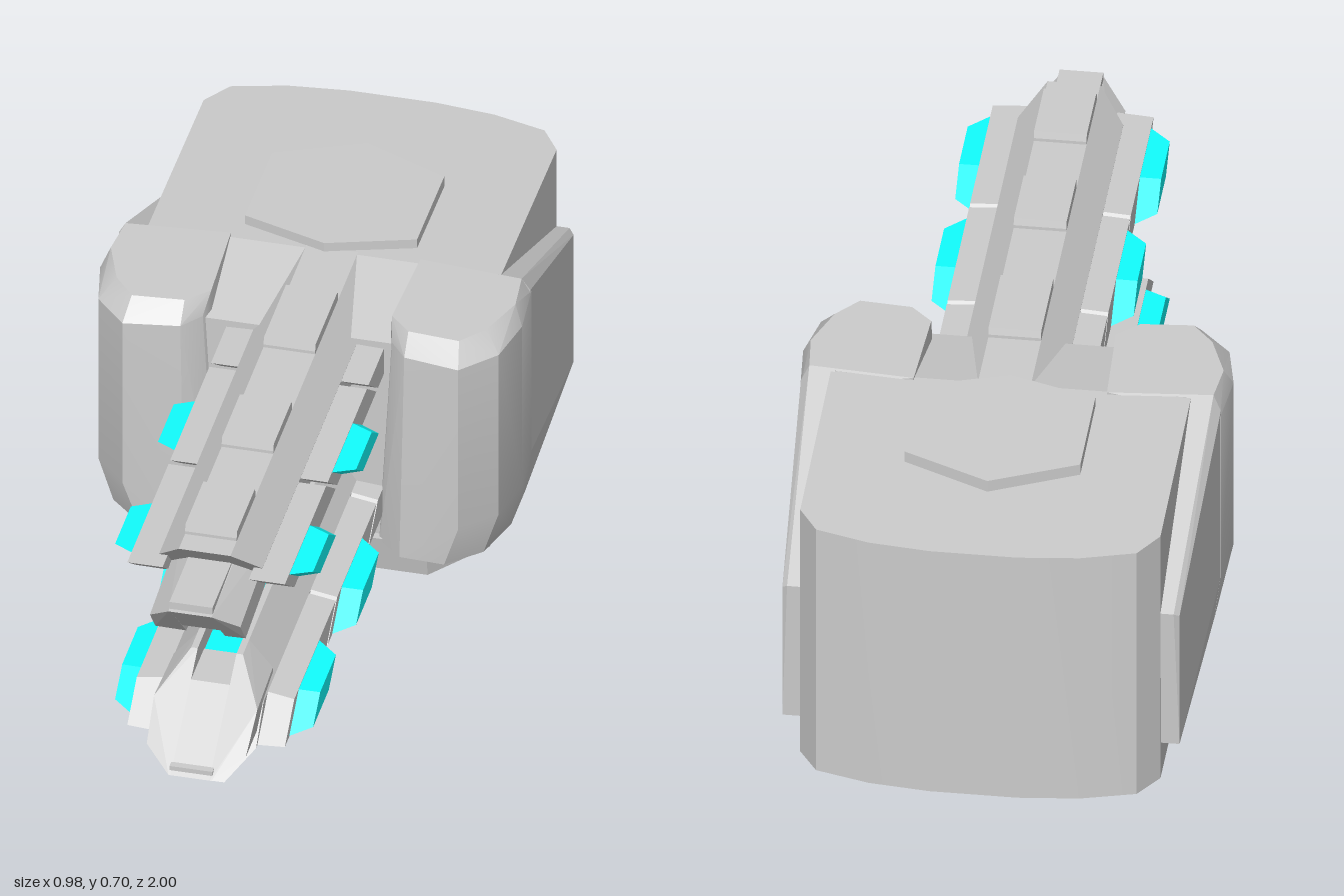
import * as THREE from 'three';
import { ConvexGeometry } from 'three/addons/geometries/ConvexGeometry.js';
import { toCreasedNormals } from 'three/addons/utils/BufferGeometryUtils.js';

const grey = new THREE.MeshStandardMaterial({ color: 0xcccccc });
const cyan = new THREE.MeshStandardMaterial({ color: 0x11ffff });
const MID = 0.3875; // height halfway between the two barrels
const CX = 0.015; // barrel centre line

function add(parent, name, geometry, material = grey) {
  const mesh = new THREE.Mesh(geometry, material);
  mesh.name = name;
  parent.add(mesh);
  return mesh;
}

const hull = (pts) => new ConvexGeometry(pts.map((p) => new THREE.Vector3(...p)));

// Half outline (x >= 0) closed by its mirror image
const mirrored = (half) => [...half, ...half.slice().reverse().map(([x, y]) => [-x, y])];

function extrude(pts, depth) {
  const shape = new THREE.Shape(pts.map((p) => new THREE.Vector2(...p)));
  return new THREE.ExtrudeGeometry(shape, { depth, bevelEnabled: false });
}

// Plan outline in (x, z) raised from y0 to y1
function raise(pts, y0, y1) {
  const g = extrude(pts.map(([x, z]) => [x, -z]), y1 - y0);
  return g.rotateX(-Math.PI / 2).translate(0, y0, 0);
}

// Moves the upper vertices of a raised outline to a sloping roof
function slopeRoof(g, rule) {
  const p = g.attributes.position;
  for (let i = 0; i < p.count; i++) if (p.getY(i) > 0.5) p.setY(i, rule(p.getZ(i)));
  g.computeVertexNormals();
  return toCreasedNormals(g, 0.5);
}

function createBody() {
  const body = new THREE.Group();
  body.name = 'turretBody';
  // Main shell with curved back
  const rear = mirrored([[0.1, -1], [0.24, -0.985], [0.365, -0.95], [0.41, -0.88], [0.41, -0.35]]);
  add(body, 'rearShell', slopeRoof(raise(rear, 0, 0.68), (z) => 0.68 + (z + 0.35) * 0.035));
  const front = mirrored([[0.41, -0.35], [0.41, -0.15], [0.36, -0.1]]);
  add(body, 'frontShell', slopeRoof(raise(front, 0.09, 0.68), (z) => 0.68 - (z + 0.35) * 0.2));
  // Chamfered plinth under the cheeks
  const ring = (y, z) => [[0.41, y, -0.36], [0.41, y, z - 0.14], [0.3, y, z]];
  const plinth = [...ring(0.004, -0.1), ...ring(0.1, -0.08)];
  add(body, 'plinth', hull([...plinth, ...plinth.map(([x, y, z]) => [-x, y, z])]));
  // Roof hatch
  const hatch = [[0, -0.76], [0.2, -0.67], [0.2, -0.41], [0, -0.345], [-0.2, -0.41], [-0.2, -0.67]];
  add(body, 'roofHatch', hull(hatch.flatMap(([x, z]) => [[x, 0.65, z], [x, 0.703 + (z + 0.345) * 0.02, z]])));
  // Glowing core between the barrels
  const core = mirrored([[0.045, 0.05], [0.087, 0], [0.087, -0.25]]);
  add(body, 'glowingCore', raise(core, 0.28, 0.49), cyan);
  return body;
}

function createCheek(s) {
  const cheek = new THREE.Group();
  cheek.name = s > 0 ? 'leftCheek' : 'rightCheek';
  const wide = [[0.22, -0.09], [0.26, -0.04], [0.39, -0.02], [0.465, -0.1], [0.49, -0.22], [0.478, -0.36], [0.225, -0.36]];
  const low = [[0.19, -0.09], [0.25, -0.035], [0.355, -0.03], [0.43, -0.1], [0.465, -0.22], [0.465, -0.36], [0.2, -0.36]];
  const top = [[0.21, -0.13], [0.26, -0.08], [0.38, -0.07], [0.43, -0.13], [0.47, -0.24], [0.46, -0.34], [0.22, -0.36]];
  const level = (o, y) => o.map(([x, z]) => [s * x, y, z]);
  const head = [...level(low, 0.09), ...level(wide, 0.2), ...level(wide, 0.64), ...level(top, 0.685)];
  add(cheek, 'cheekHead', toCreasedNormals(hull(head), 0.4));
  // Side plate with sloping upper edge
  const plate = [];
  for (const [z, y, x] of [[-0.34, 0.685, 0.46], [-0.35, 0.65, 0.478], [-0.35, 0.2, 0.478], [-0.35, 0.09, 0.465],
    [-0.88, 0.45, 0.44], [-0.87, 0.44, 0.452], [-0.87, 0.09, 0.452]]) {
    plate.push([s * x, y, z], [s * 0.4, y, z]);
  }
  add(cheek, 'sidePlate', hull(plate));
  return cheek;
}

// s = 1 builds the upper barrel, s = -1 the lower; v is distance outward from MID
function createBarrel(s) {
  const barrel = new THREE.Group();
  const upper = s > 0;
  barrel.name = upper ? 'upperBarrel' : 'lowerBarrel';
  barrel.position.x = CX;
  const Y = (v) => MID + s * v;
  const both = (pts) => pts.flatMap(([x, v, z]) => [[x, Y(v), z], [-x, Y(v), z]]);
  const end = upper ? 0.86 : 0.92;

  // Channelled core, its front end cut at a slant
  const section = mirrored([[0.06, 0.2925], [0.12, 0.228], [0.12, 0.15], [0.06, 0.0625], [0.045, 0.0625], [0.045, 0.12]]);
  const core = extrude(section.map(([x, v]) => [x, Y(v)]), end + 0.36).translate(0, 0, -0.36);
  const p = core.attributes.position;
  for (let i = 0; i < p.count; i++) {
    if (p.getZ(i) > 0) p.setZ(i, end - (0.2925 - s * (p.getY(i) - MID)) * 0.91);
  }
  core.computeVertexNormals();
  add(barrel, 'barrelCore', core);
  const strip = add(barrel, 'glowingStrip', new THREE.BoxGeometry(0.088, 0.03, 0.95), cyan);
  strip.position.set(0, Y(0.122), 0.285);

  // Slanted muzzle: two cheeks and a lower middle that continues the channel
  const tip = upper
    ? [[0.06, 0.0625, 0.62], [0.105, 0.13, 0.62], [0.105, 0.2, 0.62], [0.055, 0.245, 0.62],
      [0.055, 0.0625, 0.85], [0.105, 0.1, 0.9], [0.105, 0.165, 0.95], [0.05, 0.2175, 1]]
    : [[0.06, 0.0625, 0.68], [0.115, 0.13, 0.68], [0.115, 0.2, 0.68], [0.05, 0.255, 0.68],
      [0.06, 0.0625, 0.74], [0.12, 0.13, 0.85], [0.115, 0.2, 0.94], [0.05, 0.235, 1]];
  for (const side of [1, -1]) {
    const inner = tip.filter(([x]) => x < 0.07).map(([, v, z]) => [0.045, v, z]);
    add(barrel, 'muzzleSide', hull([...tip, ...inner].map(([x, v, z]) => [side * x, Y(v), z])));
  }
  const middle = upper
    ? [[0.105, 0.62], [0.105, 0.89], [0.2175, 1], [0.245, 0.62]]
    : [[0.105, 0.68], [0.105, 0.804], [0.235, 1], [0.255, 0.68]];
  add(barrel, 'muzzleMiddle', hull(both(middle.map(([v, z]) => [0.045, v, z]))));
  const cap = add(barrel, 'muzzleCap', new THREE.BoxGeometry(0.1, 0.02, 0.19));
  cap.position.set(0, Y(0.227), 0.895);

  // Outer pads, flat on the upper barrel and bevelled below the lower one
  const [padX, padV, inset] = upper ? [0.06, 0.317, 0.005] : [0.036, 0.328, 0.035];
  for (const [z0, z1] of [[0.62, 0.8], [0.27, 0.45], [-0.17, 0.05]]) {
    add(barrel, 'outerPad', hull(both([[0.06, 0.285, z0], [0.06, 0.285, z1],
      [0.06, 0.3, z0], [0.06, 0.3, z1], [padX, padV, z0 + inset], [padX, padV, z1 - inset]])));
  }

  for (const side of [1, -1]) {
    // Slanted side flanges
    for (const [z0, z1] of [[-0.1, 0.05], [0.065, 0.44], [0.455, 0.85]]) {
      const pts = [];
      for (const [x, v0, v1] of [[0.1, 0.148, 0.228], [0.183, 0.155, 0.225]]) {
        for (const z of [z0, z1]) {
          for (const v of [v0, v1]) pts.push([side * x, Y(v), z - (0.228 - v) * 1.3]);
        }
      }
      add(barrel, 'sideFlange', hull(pts));
    }
    // Glowing slanted fins
    for (const z of [0.66, 0.25]) {
      const pts = [];
      for (const [x, len, h] of [[0.18, 0.1, 0.034], [0.23, 0.075, 0.025]]) {
        for (const a of [-1, 1]) {
          for (const b of [-1, 1]) pts.push([side * x, Y(0.19 + b * h), z + a * len + b * h * 1.35]);
        }
      }
      add(barrel, 'glowingFin', hull(pts), cyan);
    }
  }
  return barrel;
}

export function createModel() {
  const model = new THREE.Group();
  model.name = 'turret';
  model.add(createBody());
  for (const s of [1, -1]) model.add(createCheek(s), createBarrel(s));
  return model;
}
